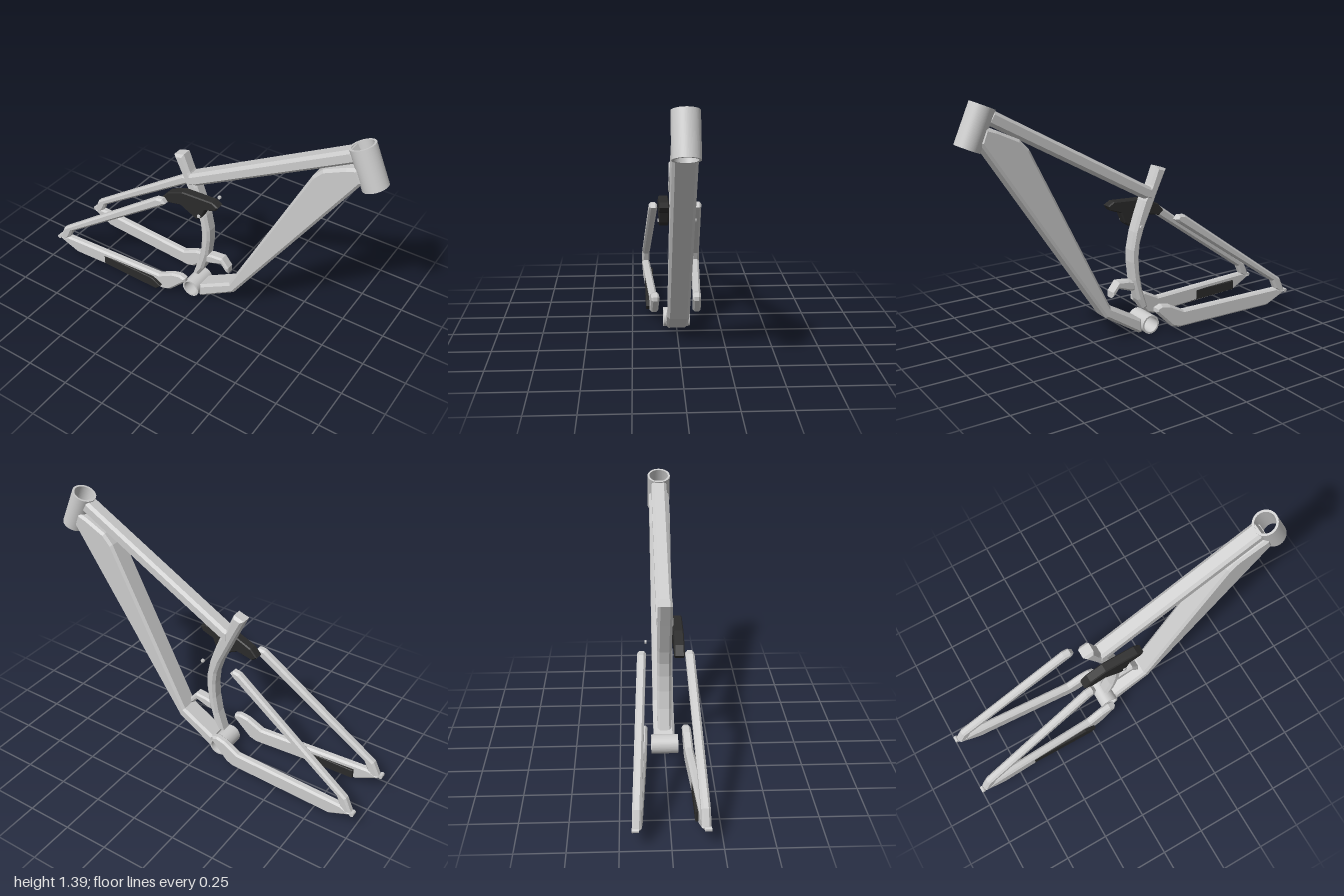
import * as THREE from 'three';

const grey = new THREE.MeshStandardMaterial({ color: 0xcccccc, flatShading: true });
const smoothGrey = new THREE.MeshStandardMaterial({ color: 0xcccccc });
const dark = new THREE.MeshStandardMaterial({ color: 0x2b2b2b, flatShading: true });

// Chamfered plate: a side outline (x, y) with thickness from z0 to z1
function plate(name, outline, z0, z1, bevel, material = grey) {
  const shape = new THREE.Shape(outline.map(([x, y]) => new THREE.Vector2(x, y)));
  const geo = new THREE.ExtrudeGeometry(shape, {
    depth: z1 - z0 - 2 * bevel, bevelEnabled: bevel > 0, bevelThickness: bevel,
    bevelSize: bevel, bevelOffset: -bevel, bevelSegments: 1,
  });
  geo.translate(0, 0, z0 + bevel);
  const mesh = new THREE.Mesh(geo, material);
  mesh.name = name;
  return mesh;
}

// Open tube with wall thickness, centred between two points
function hollowTube(name, a, b, outer, inner) {
  const len = a.distanceTo(b);
  const h = len / 2;
  const ring = new THREE.Shape().absarc(0, 0, outer, 0, Math.PI * 2);
  ring.holes.push(new THREE.Path().absarc(0, 0, inner, 0, Math.PI * 2, true));
  const geo = new THREE.ExtrudeGeometry(ring, { depth: len, bevelEnabled: false, curveSegments: 40 });
  geo.translate(0, 0, -h);
  const mesh = new THREE.Mesh(geo, smoothGrey);
  mesh.name = name;
  mesh.position.copy(a).lerp(b, 0.5);
  mesh.quaternion.setFromUnitVectors(new THREE.Vector3(0, 0, 1), b.clone().sub(a).normalize());
  return mesh;
}

// Short round pin along z
function pin(name, x, y, z, radius, length) {
  const geo = new THREE.CylinderGeometry(radius, radius, length, 12).rotateX(Math.PI / 2);
  const mesh = new THREE.Mesh(geo, grey);
  mesh.name = name;
  mesh.position.set(x, y, z);
  return mesh;
}

// Rear stay: a plate that splays outwards towards the rear axle
function stay(name, outline, side) {
  const mesh = plate(name, outline, -0.023, 0.023, 0.011);
  const p = mesh.geometry.attributes.position;
  for (let i = 0; i < p.count; i++) {
    p.setZ(i, p.getZ(i) + side * (0.118 + (-0.08 - p.getX(i)) * 0.053));
  }
  mesh.geometry.computeVertexNormals();
  return mesh;
}

export function createModel() {
  const frame = new THREE.Group();
  frame.name = 'bicycleFrame';
  const V = (x, y, z) => new THREE.Vector3(x, y, z);

  // Head tube and bottom bracket shell
  frame.add(hollowTube('headTube', V(0.937, 1.163, 0), V(0.848, 1.367, 0), 0.067, 0.055));
  frame.add(hollowTube('bottomBracket', V(-0.084, 0.055, -0.075), V(-0.084, 0.055, 0.075), 0.054, 0.044));

  // Main tubes
  frame.add(plate('topTube', [
    [0.81, 1.345], [-0.12, 0.832], [-0.12, 0.765], [-0.06, 0.782], [0.85, 1.283],
  ], -0.045, 0.045, 0.016));
  frame.add(plate('downTube', [
    [0.86, 1.267], [0.8, 1.247], [0.68, 1.19], [0.63, 1.135], [0.165, 0.205],
    [-0.035, 0.09], [-0.04, 0.012], [-0.02, 0.012], [0.197, 0.148], [0.89, 1.19],
  ], -0.06, 0.06, 0.014));
  frame.add(plate('seatTube', [
    [-0.21, 0.93], [-0.147, 0.95], [-0.108, 0.85], [-0.06, 0.77], [-0.03, 0.69], [0.0, 0.6],
    [0.02, 0.5], [0.021, 0.43], [0.008, 0.32], [-0.025, 0.2], [-0.06, 0.14], [-0.092, 0.145],
    [-0.055, 0.26], [-0.037, 0.36], [-0.032, 0.45], [-0.04, 0.53], [-0.065, 0.61],
    [-0.11, 0.71], [-0.15, 0.8],
  ], -0.04, 0.04, 0.014));

  // Hooked shock mount on the seat tube
  frame.add(plate('shockMount', [
    [-0.01, 0.315], [0.03, 0.325], [0.1, 0.332], [0.142, 0.28], [0.142, 0.243],
    [0.117, 0.258], [0.093, 0.288], [0.02, 0.262], [-0.01, 0.26],
  ], -0.03, 0.03, 0.01));

  // Rocker link on the left side
  frame.add(plate('rockerLink', [
    [-0.25, 0.67], [-0.21, 0.715], [-0.115, 0.757], [0.08, 0.766], [0.118, 0.745], [0.1, 0.718],
    [0.035, 0.695], [0.01, 0.635], [-0.02, 0.612], [-0.125, 0.665], [-0.22, 0.645],
  ], 0.045, 0.1, 0.006, dark));

  // Rear triangle, pivots and axle tips on both sides
  const seatStay = [
    [-0.985, 0.11], [-0.945, 0.195], [-0.26, 0.685], [-0.22, 0.69], [-0.2, 0.665],
    [-0.222, 0.645], [-0.89, 0.185], [-0.915, 0.13], [-0.95, 0.1],
  ];
  const chainStay = [
    [-0.985, 0.11], [-0.92, 0.135], [-0.26, 0.128], [-0.17, 0.175], [-0.115, 0.186], [-0.08, 0.172],
    [-0.08, 0.148], [-0.185, 0.045], [-0.23, 0.03], [-0.855, 0.04], [-0.975, 0.097],
  ];
  for (const side of [1, -1]) {
    const label = side > 0 ? 'left' : 'right';
    frame.add(stay(label + 'SeatStay', seatStay, side));
    frame.add(stay(label + 'ChainStay', chainStay, side));
    frame.add(pin(label + 'AxleTip', -0.988, 0.11, side * 0.172, 0.012, 0.034));
    frame.add(pin(label + 'PivotPin', -0.001, 0.645, side * 0.101, 0.01, 0.012));
  }

  // Protective pad in the left chain stay
  frame.add(plate('chainStayPad', [
    [-0.84, 0.106], [-0.3, 0.103], [-0.27, 0.09], [-0.235, 0.065], [-0.265, 0.034],
    [-0.5, 0.04], [-0.84, 0.052],
  ], 0.12, 0.171, 0.003, dark));

  return frame;
}
